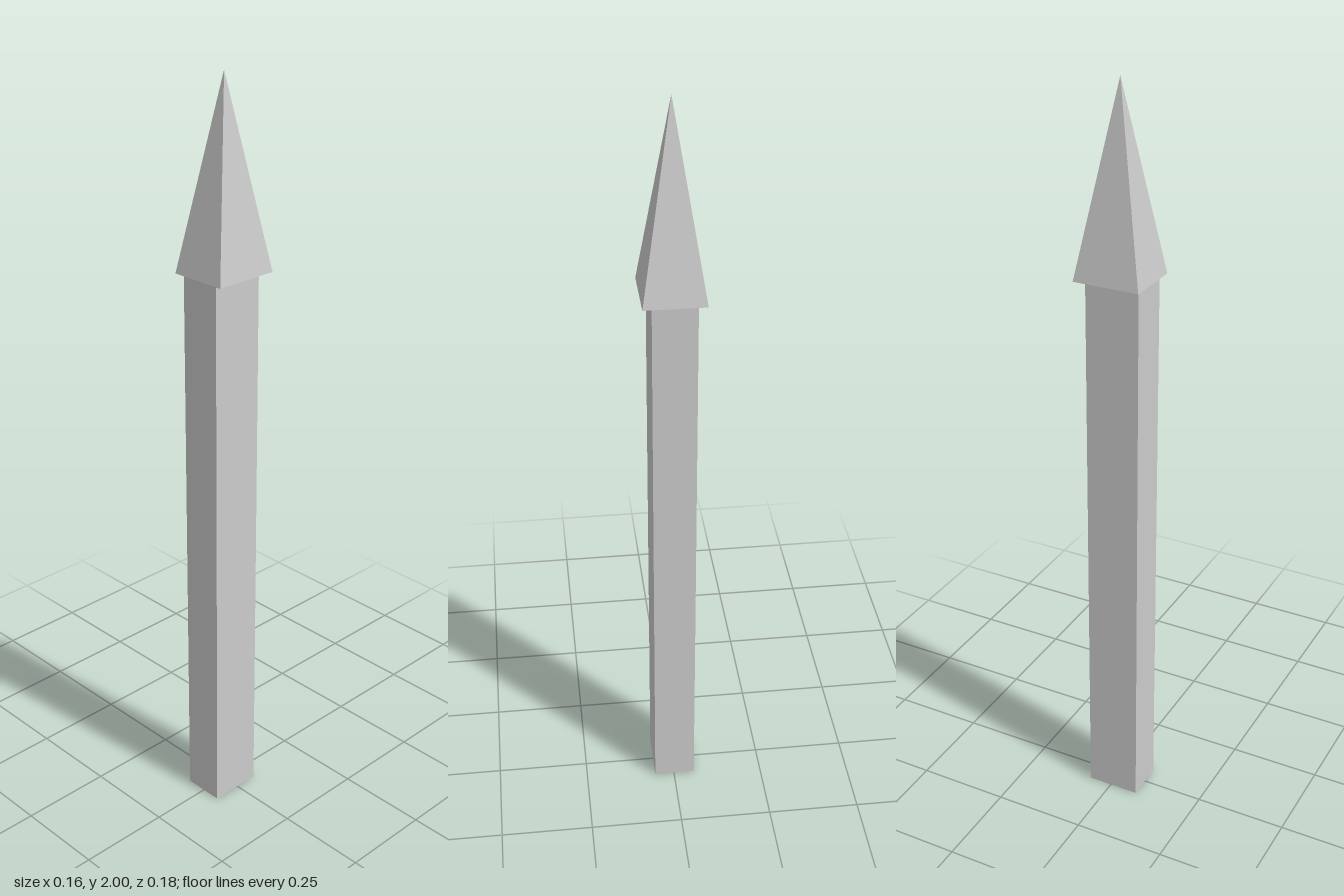
import * as THREE from 'three';

const material = new THREE.MeshStandardMaterial({ color: 0xcccccc, flatShading: true });

function addPart(group, name, geometry, x, y, z) {
  const mesh = new THREE.Mesh(geometry, material);
  mesh.name = name;
  mesh.position.set(x, y, z);
  group.add(mesh);
}

export function createModel() {
  const group = new THREE.Group();
  group.name = 'picket';
  const shoulder = 1.515; // height where the shaft meets the point

  // Rectangular shaft, set slightly off the axis of the point
  addPart(group, 'shaft', new THREE.BoxGeometry(0.112, shoulder, 0.144), -0.002, shoulder / 2, 0.007);

  // Four-sided point with a closed, overhanging base
  const tipHeight = 2 - shoulder;
  const point = new THREE.ConeGeometry(Math.SQRT1_2, tipHeight, 4, 1);
  point.rotateY(Math.PI / 4); // base becomes a unit square
  point.scale(0.156, 1, 0.176);
  addPart(group, 'point', point, 0, shoulder + tipHeight / 2, 0);

  return group;
}
